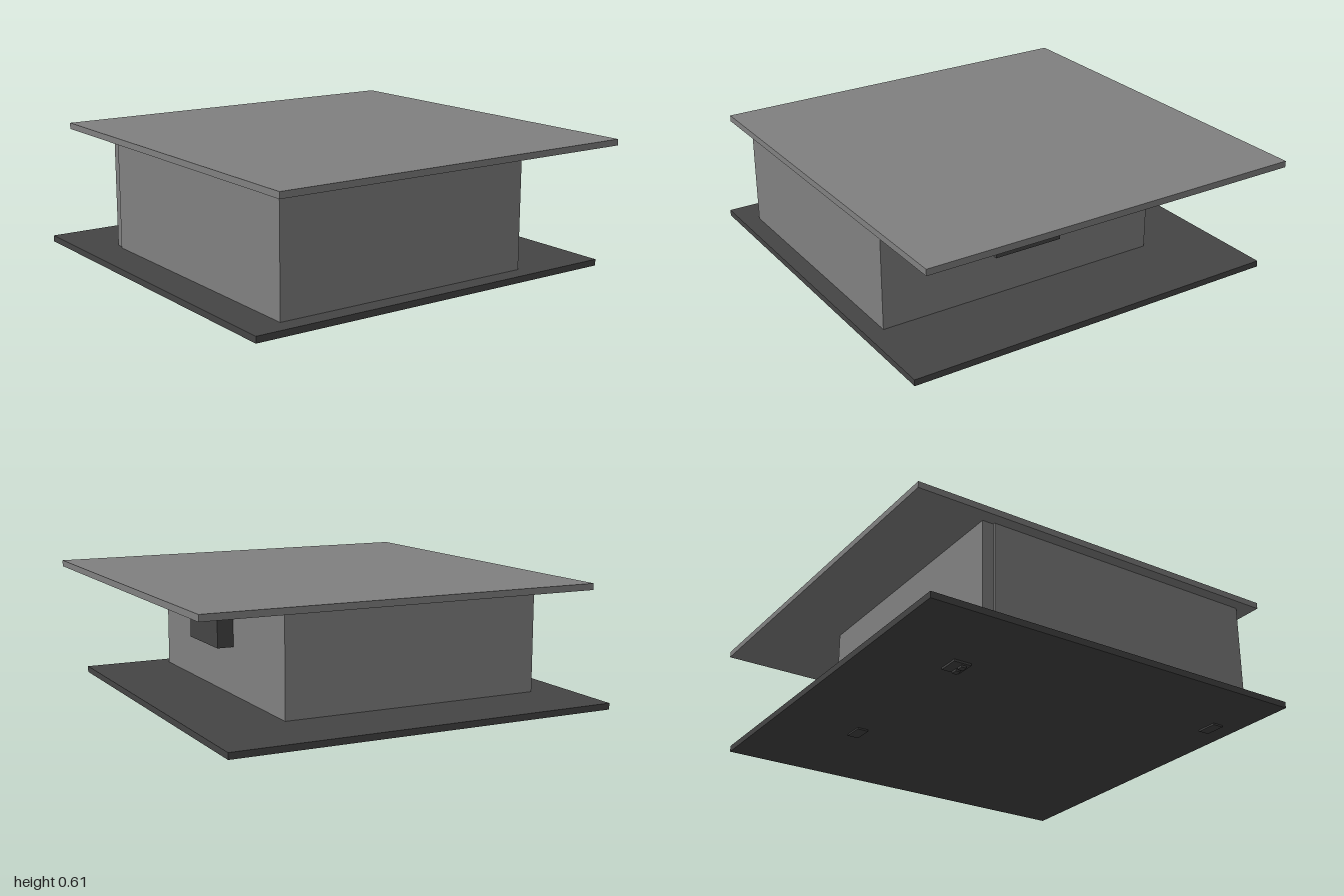
import * as THREE from 'three';

export function createModel() {
  const model = new THREE.Group();
  const lightGrey = new THREE.MeshStandardMaterial({ name: 'light grey', color: 0x808080 });
  const darkGrey = new THREE.MeshStandardMaterial({ name: 'dark grey', color: 0x444444 });

  // Box given by its extents on each axis
  function block(name, material, [x0, x1], [y0, y1], [z0, z1]) {
    const mesh = new THREE.Mesh(new THREE.BoxGeometry(x1 - x0, y1 - y0, z1 - z0), material);
    mesh.position.set((x0 + x1) / 2, (y0 + y1) / 2, (z0 + z1) / 2);
    mesh.name = name;
    model.add(mesh);
  }

  // Two offset slabs
  block('baseSlab', darkGrey, [-0.94, 0.94], [0.02, 0.05], [-0.885, 1]);
  block('roofSlab', lightGrey, [-0.94, 0.94], [0.58, 0.61], [-1, 0.885]);

  // Enclosed room with a slightly raised front panel
  block('body', lightGrey, [-0.585, 0.855], [0.05, 0.58], [-0.47, 0.82]);
  block('frontPanel', lightGrey, [-0.53, 0.855], [0.05, 0.58], [0.82, 0.83]);

  // Box mounted on the back wall
  block('backBox', darkGrey, [-0.02, 0.325], [0.28, 0.535], [-0.55, -0.47]);

  // Pads under the base
  block('footPad', darkGrey, [0.785, 0.84], [0.012, 0.02], [0.59, 0.69]);
  block('footPad', darkGrey, [-0.565, -0.51], [0.012, 0.02], [-0.37, -0.27]);
  block('footPad', darkGrey, [-0.58, -0.495], [0.01, 0.02], [0.5, 0.6]);
  for (const z of [0.525, 0.57])
    block('footNub', darkGrey, [-0.535, -0.51], [0, 0.01], [z - 0.016, z + 0.016]);

  return model;
}
